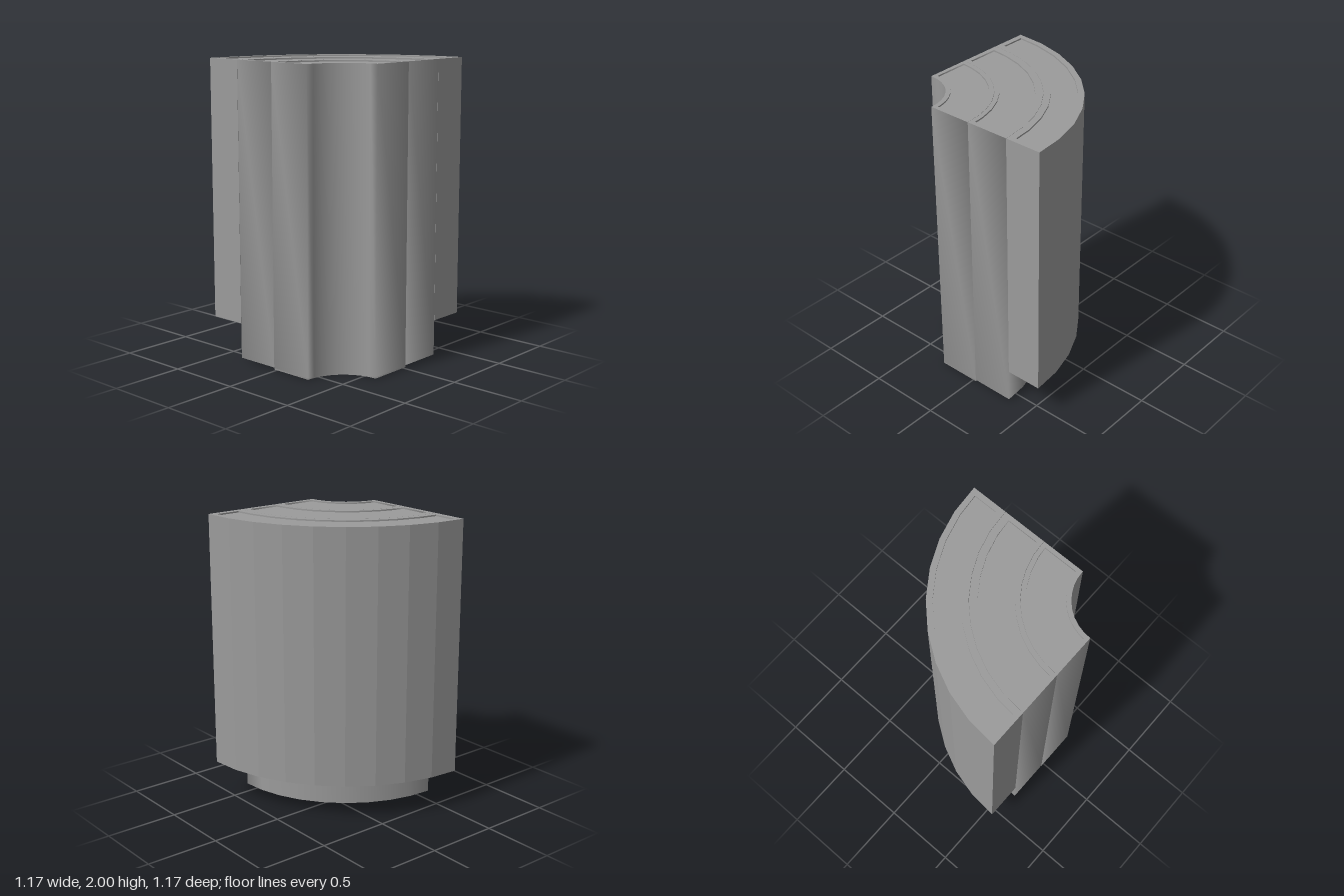
import * as THREE from 'three';
import { mergeGeometries, toCreasedNormals } from 'three/addons/utils/BufferGeometryUtils.js';

const CORNER = 0.585; // arcs are centred on the corner (-CORNER, CORNER)
const STEPS = 9;
const TOP = 2;
const RECESS = 0.01;

const material = new THREE.MeshStandardMaterial({ color: 0x9b9b9b, side: THREE.DoubleSide });

// Quarter-ring outline; the straight ends are pulled in by "inset"
function sectorPoints(inner, outer, inset = 0) {
  const arc = (r) => {
    const end = Math.asin(inset / r);
    const pts = [];
    for (let i = 0; i <= STEPS; i++) {
      const a = THREE.MathUtils.clamp((i / STEPS) * Math.PI / 2, end, Math.PI / 2 - end);
      pts.push(new THREE.Vector2(r * Math.cos(a), r * Math.sin(a)));
    }
    return pts;
  };
  return [...arc(outer), ...arc(inner).reverse()];
}

// Flat-shaded copy of a run of vertices
function slice(geo, start, end) {
  const part = new THREE.BufferGeometry();
  const data = geo.attributes.position.array.slice(start * 3, end * 3);
  part.setAttribute('position', new THREE.BufferAttribute(data, 3));
  part.computeVertexNormals();
  return part;
}

// Upright prism from an outline; "caps" is 'both', 'top' or 'none'.
// Smooth prisms blend their side faces around the upright edges.
function prism(name, { outline, hole, y0, y1, smooth, caps = 'both' }) {
  const shape = new THREE.Shape(outline);
  if (hole) shape.holes.push(new THREE.Path(hole));
  const solid = new THREE.ExtrudeGeometry(shape, { depth: y1 - y0, bevelEnabled: false });
  solid.rotateX(-Math.PI / 2);
  solid.translate(-CORNER, y0, CORNER);

  // The extrusion lists the bottom cap, the top cap, then the sides
  const capEnd = solid.groups[0].count;
  const sides = slice(solid, capEnd, solid.attributes.position.count);
  const parts = [smooth ? toCreasedNormals(sides, Math.PI) : sides];
  if (caps !== 'none') parts.push(slice(solid, caps === 'top' ? capEnd / 2 : 0, capEnd));

  const mesh = new THREE.Mesh(mergeGeometries(parts), material);
  mesh.name = name;
  return mesh;
}

export function createModel() {
  const model = new THREE.Group();
  model.name = 'nestedQuarterRings';

  const rings = [
    { name: 'innerRing', r: [0.305, 0.608], panel: [0.335, 0.577], inset: 0.028, bottom: 0.01, floor: 0.01, lip: 0, smooth: true },
    { name: 'middleRing', r: [0.6095, 0.914], panel: [0.64, 0.863], inset: 0.033, bottom: 0.013, floor: 0, lip: 0, smooth: true },
    { name: 'outerRing', r: [0.9155, 1.17], panel: [0.96, 1.13], inset: 0.039, bottom: 0.252, floor: 0, lip: 0.008, smooth: false },
  ];

  for (const { name, r, panel, inset, bottom, floor, lip, smooth } of rings) {
    const ring = new THREE.Group();
    ring.name = name;
    const outline = sectorPoints(r[0], r[1]);
    const opening = sectorPoints(panel[0], panel[1], inset);

    // Double-skinned wall, open below, with a slightly sunken top panel
    ring.add(prism('wall', { outline, hole: opening, y0: bottom, y1: TOP, smooth, caps: 'top' }));
    ring.add(prism('topPanel', { outline: opening, y0: TOP - RECESS - 0.02, y1: TOP - RECESS, smooth }));

    // Closed floor, or inner skin standing out below the wall
    if (floor) ring.add(prism('floor', { outline, y0: bottom - floor, y1: bottom, smooth }));
    if (lip) ring.add(prism('lip', { outline: opening, y0: bottom - lip, y1: bottom, smooth, caps: 'none' }));
    model.add(ring);
  }
  return model;
}
